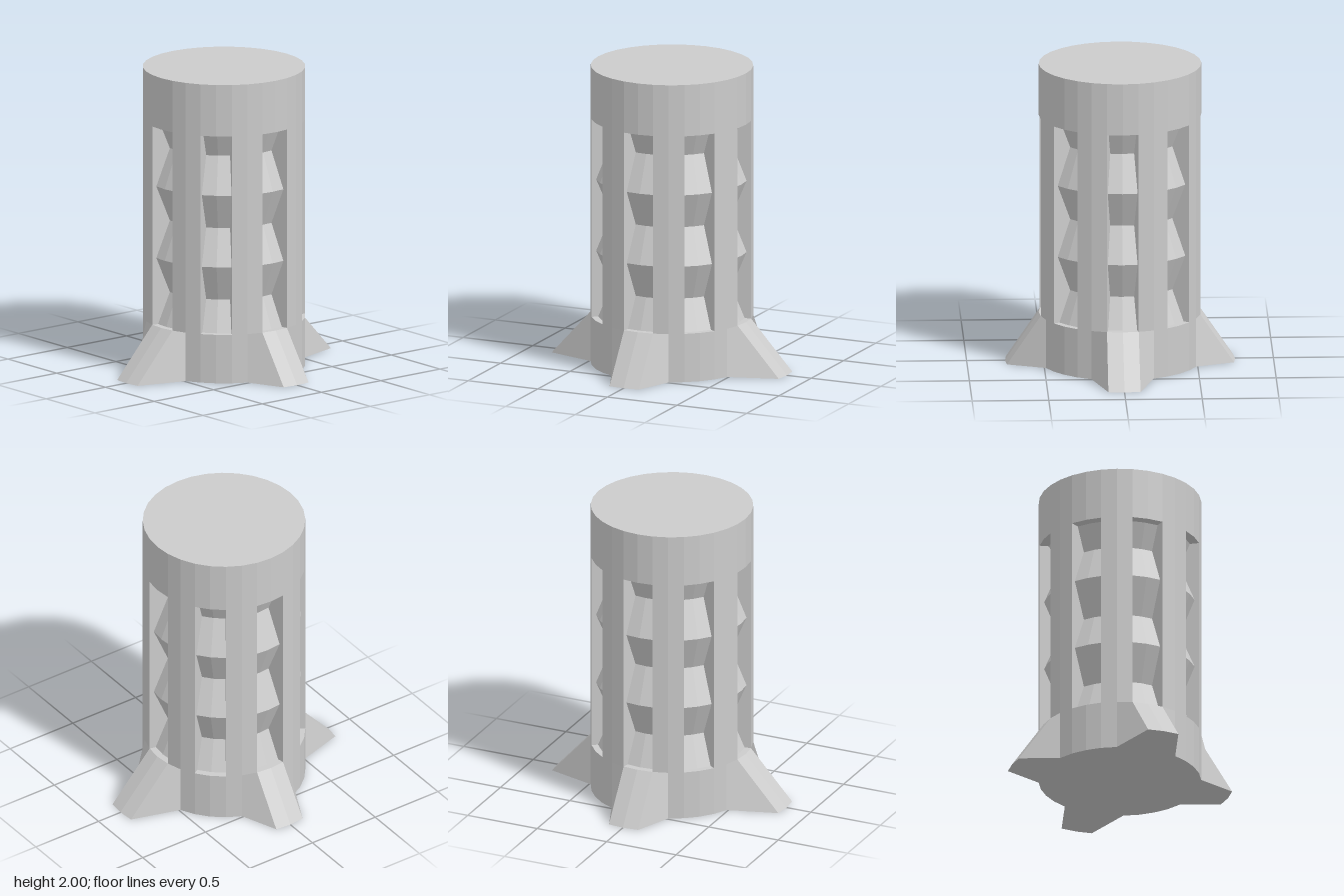
import * as THREE from 'three';

const SIDES = 32, STEP = (Math.PI * 2) / SIDES;
const R = 0.53, BASE_TOP = 0.325, CAP_BOTTOM = 1.655, TOP = 2;

const material = new THREE.MeshStandardMaterial({ color: 0xcccccc, flatShading: true });
const smoothQuads = new THREE.MeshStandardMaterial({ color: 0xcccccc });

function part(name, geometry, mat = material) {
  const mesh = new THREE.Mesh(geometry, mat);
  mesh.name = name;
  return mesh;
}

// Bottom outline: the three points around each axis are pulled out into a foot
function footPoint(i) {
  const k = ((i % SIDES) + SIDES) % SIDES;
  const nearest = Math.round(k / 8) * 8;
  const d = k - nearest;
  const a = k * STEP;
  if (Math.abs(d) > 1) return new THREE.Vector3(R * Math.sin(a), 0, R * Math.cos(a));
  const reach = (nearest / 8) % 2 ? 0.825 : 0.75;
  const p = new THREE.Vector3(d * 0.105, 0, reach - 0.01 * Math.abs(d));
  return p.applyAxisAngle(new THREE.Vector3(0, 1, 0), nearest * STEP);
}

// Base drum whose lower edge flares into four feet
function baseGeometry() {
  const pos = [], nor = [];
  const tri = (a, b, c, n) => [a, b, c].forEach((p) => {
    pos.push(p.x, p.y, p.z);
    nor.push(n.x, n.y, n.z);
  });
  const rim = (i) => new THREE.Vector3(R * Math.sin(i * STEP), BASE_TOP, R * Math.cos(i * STEP));
  const up = new THREE.Vector3(0, 1, 0), down = new THREE.Vector3(0, -1, 0);
  const low = new THREE.Vector3(), high = new THREE.Vector3(0, BASE_TOP, 0);
  for (let i = 0; i < SIDES; i++) {
    const q = [footPoint(i), footPoint(i + 1), rim(i + 1), rim(i)];
    const n = q[2].clone().sub(q[0]).cross(q[3].clone().sub(q[1])).normalize();
    const mid = new THREE.Vector3();
    q.forEach((p) => mid.addScaledVector(p, 0.25));
    for (let j = 0; j < 4; j++) tri(q[j], q[(j + 1) % 4], mid, n);
    tri(low, q[1], q[0], down);
    tri(high, q[3], q[2], up);
  }
  const g = new THREE.BufferGeometry();
  g.setAttribute('position', new THREE.Float32BufferAttribute(pos, 3));
  g.setAttribute('normal', new THREE.Float32BufferAttribute(nor, 3));
  return g;
}

// Upright: a two-facet sector of the outer shell
function pillarGeometry() {
  const inner = 0.36;
  const at = (r, d) => new THREE.Vector2(r * Math.sin(d * STEP), -r * Math.cos(d * STEP));
  const shape = new THREE.Shape([
    at(R, -1), at(R, 0), at(R, 1), at(inner, 1), at(inner, 0), at(inner, -1),
  ]);
  const g = new THREE.ExtrudeGeometry(shape, { depth: CAP_BOTTOM - BASE_TOP, bevelEnabled: false });
  g.rotateX(-Math.PI / 2);
  g.translate(0, BASE_TOP, 0);
  return g;
}

export function createModel() {
  const group = new THREE.Group();
  group.name = 'slottedColumn';

  group.add(part('flaredBase', baseGeometry(), smoothQuads));

  // Zigzag core seen through the slots
  const profile = [
    [0.487, BASE_TOP], [0.4, 0.53], [0.5, 0.77], [0.4, 1.01],
    [0.5, 1.25], [0.4, 1.495], [0.468, CAP_BOTTOM],
  ].map(([r, y]) => new THREE.Vector2(r, y));
  group.add(part('zigzagCore', new THREE.LatheGeometry(profile, SIDES)));

  // Eight uprights leave eight slots between them
  const pillar = pillarGeometry();
  for (let i = 0; i < 8; i++) {
    const mesh = part('pillar' + (i + 1), pillar);
    mesh.rotation.y = (i * 4 + 2) * STEP;
    group.add(mesh);
  }

  const cap = part('topCap', new THREE.CylinderGeometry(R, R, TOP - CAP_BOTTOM, SIDES));
  cap.position.y = (TOP + CAP_BOTTOM) / 2;
  group.add(cap);

  return group;
}
